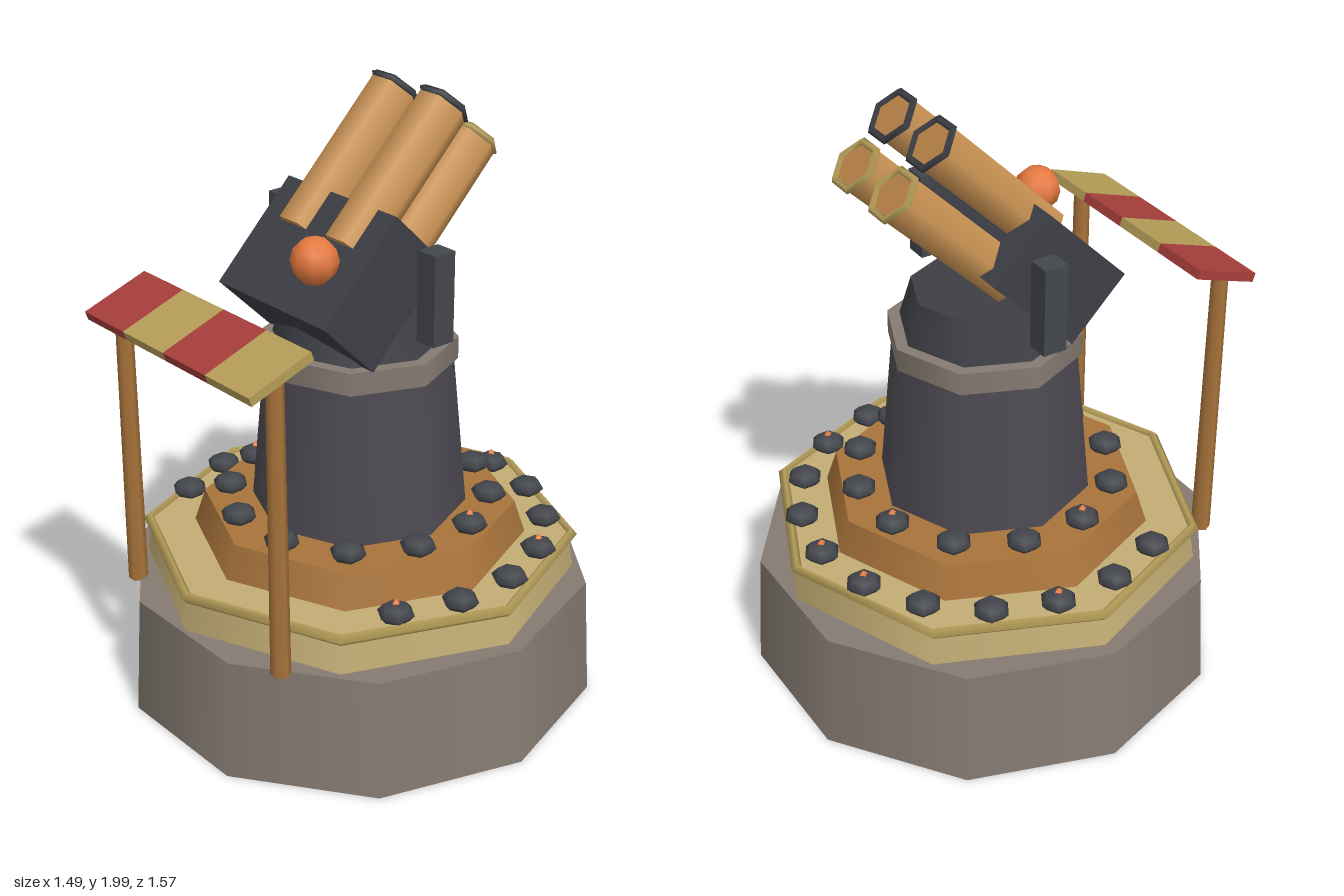
import * as THREE from 'three';

const mat = (color) => new THREE.MeshStandardMaterial({ color });
const M = {
  stone: mat(0x857b72), sand: mat(0xc3ad75), brass: mat(0xb59d58), wood: mat(0xa8733a),
  tower: mat(0x4d4a52), iron: mat(0x3d3f45), steel: mat(0x43464c), barrel: mat(0xcd9555),
  bore: mat(0xb98247), orange: mat(0xe5793f), red: mat(0xa63e3a),
};

function add(parent, name, geometry, material, x = 0, y = 0, z = 0) {
  const mesh = new THREE.Mesh(geometry, material);
  mesh.name = name;
  mesh.position.set(x, y, z);
  parent.add(mesh);
  return mesh;
}

// Faceted tier standing between two heights
function tier(parent, name, material, sides, rBottom, rTop, y0, y1) {
  return add(parent, name, new THREE.CylinderGeometry(rTop, rBottom, y1 - y0, sides), material, 0, (y0 + y1) / 2, 0);
}

// Ring of studs at the given angles in degrees; some carry a glowing tip
function studRing(parent, name, radius, y, angles, tipped) {
  const ring = new THREE.Group();
  ring.name = name;
  const stud = new THREE.SphereGeometry(0.06, 6, 4).scale(1, 0.5, 1);
  const tip = new THREE.OctahedronGeometry(0.014);
  for (const deg of angles) {
    const a = THREE.MathUtils.degToRad(deg);
    const x = radius * Math.cos(a), z = radius * Math.sin(a);
    add(ring, 'stud', stud, M.steel, x, y, z);
    if (tipped.includes(deg)) add(ring, 'studTip', tip, M.orange, x, y + 0.035, z);
  }
  parent.add(ring);
}

export function createModel() {
  const model = new THREE.Group();
  model.name = 'gunTurret';

  // Stepped foundation
  tier(model, 'stoneBase', M.stone, 10, 0.785, 0.76, 0, 0.4);
  tier(model, 'sandPlatform', M.sand, 8, 0.71, 0.69, 0.4, 0.52);
  const rim = new THREE.TorusGeometry(0.7, 0.02, 4, 8).rotateX(Math.PI / 2);
  add(model, 'platformRim', rim, M.brass, 0, 0.515, 0);
  tier(model, 'woodDeck', M.wood, 8, 0.55, 0.51, 0.51, 0.63);

  // Studs: the outer ring leaves a gap under the awning
  const outer = Array.from({ length: 13 }, (_, i) => -120 + i * 20);
  const inner = Array.from({ length: 12 }, (_, i) => -165 + i * 30);
  studRing(model, 'outerStuds', 0.61, 0.55, outer, [-80, -20, 0, 60, 120]);
  studRing(model, 'innerStuds', 0.425, 0.66, inner, [-105, -15, 75, 165]);

  // Tower, collar and cap
  tier(model, 'tower', M.tower, 8, 0.35, 0.3, 0.63, 1.16);
  tier(model, 'collar', M.stone, 8, 0.315, 0.315, 1.135, 1.21);
  tier(model, 'cap', M.iron, 8, 0.275, 0.235, 1.21, 1.345);

  // Tilted gun: local x runs along the barrels, local y across the two rows
  const gun = new THREE.Group();
  gun.name = 'gun';
  gun.position.set(-0.115, 1.445, 0);
  gun.rotation.z = Math.PI / 4;
  model.add(gun);
  add(gun, 'cradle', new THREE.BoxGeometry(0.4, 0.27, 0.51), M.iron);
  const barrel = new THREE.CylinderGeometry(0.085, 0.085, 0.54, 6).rotateZ(-Math.PI / 2);
  const bore = new THREE.CircleGeometry(0.08, 6).rotateY(Math.PI / 2);
  const muzzle = new THREE.TorusGeometry(0.08, 0.014, 4, 6).rotateY(Math.PI / 2);
  for (const row of [1, -1]) {
    for (const side of [1, -1]) {
      const y = row * 0.09, z = side * 0.11;
      add(gun, 'barrel', barrel, M.barrel, 0.33, y, z);
      add(gun, 'bore', bore, M.bore, 0.602, y, z);
      add(gun, 'muzzleRing', muzzle, row > 0 ? M.iron : M.brass, 0.6, y, z);
    }
  }

  // Side brackets and signal ball
  for (const side of [1, -1]) {
    add(model, 'sideBracket', new THREE.BoxGeometry(0.08, 0.29, 0.075), M.steel, -0.003, 1.445, side * 0.355);
  }
  add(model, 'signalBall', new THREE.SphereGeometry(0.075, 8, 6), M.orange, -0.27, 1.555, 0.115);

  // Striped awning on two posts
  for (const side of [1, -1]) {
    add(model, 'awningPost', new THREE.CylinderGeometry(0.027, 0.032, 0.98, 6), M.wood, -0.63, 0.885, side * 0.375);
  }
  const awning = new THREE.Group();
  awning.name = 'awning';
  awning.position.set(-0.63, 1.38, 0);
  awning.rotation.z = 0.33;
  model.add(awning);
  for (let i = 0; i < 4; i++) {
    add(awning, 'awningStripe', new THREE.BoxGeometry(0.235, 0.03, 0.204), i % 2 ? M.brass : M.red, 0, 0, (i - 1.5) * 0.204);
  }
  return model;
}
